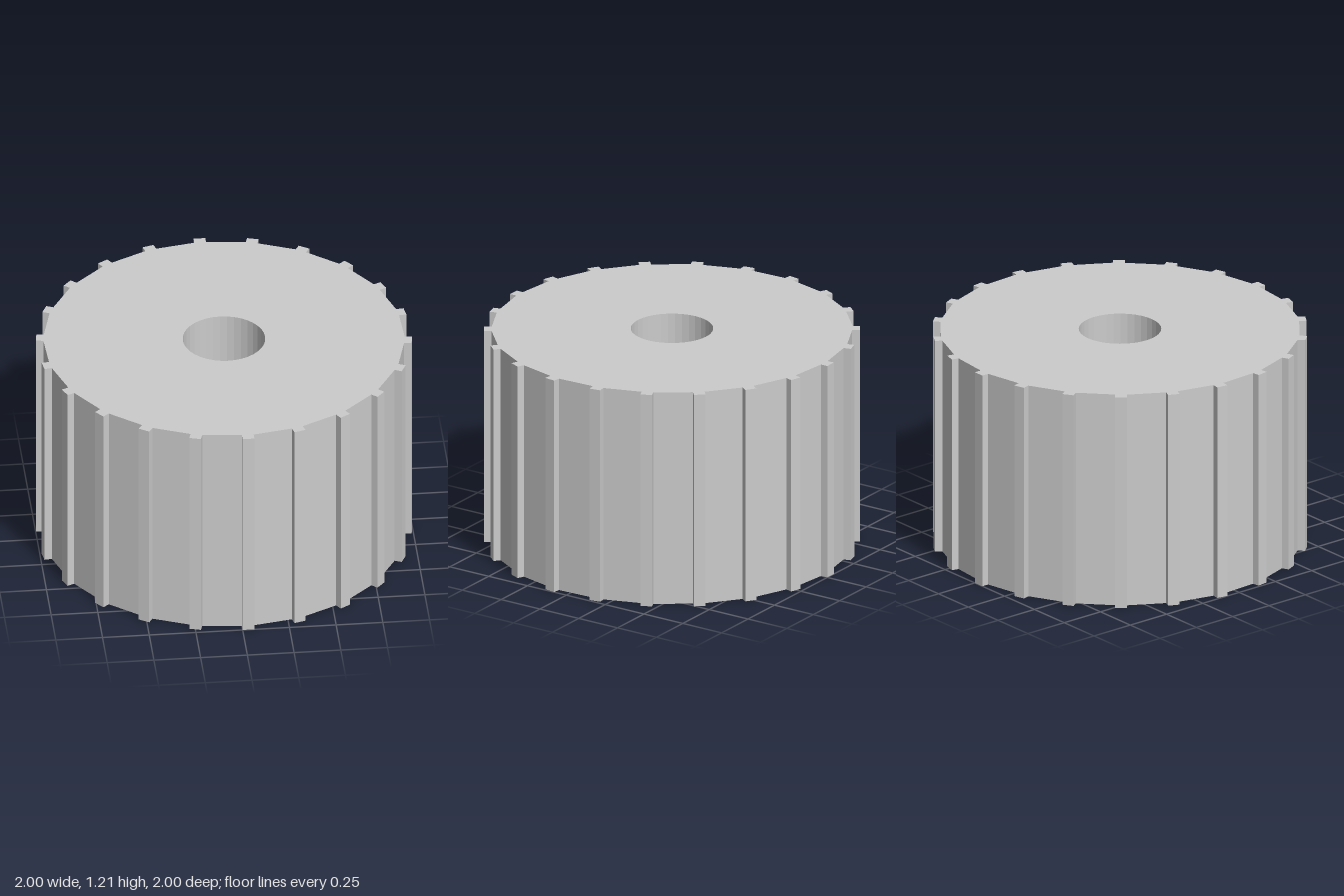
import * as THREE from 'three';

const TEETH = 22, HEIGHT = 1.205;
const ROOT = 0.96, TIP = 1, TOOTH_WIDTH = 0.063, BORE = 0.22;

// Outline: each tooth is a square rib whose one flank lies on the radial line
function gearOutline() {
  const points = [];
  for (let k = 0; k < TEETH; k++) {
    const a = (k / TEETH) * Math.PI * 2;
    const s = Math.sin(a), c = Math.cos(a);
    for (const [offset, r] of [[0, ROOT], [0, TIP], [TOOTH_WIDTH, TIP], [TOOTH_WIDTH, ROOT]]) {
      points.push(new THREE.Vector2(r * s + offset * c, -(r * c - offset * s)));
    }
  }
  return new THREE.Shape(points);
}

export function createModel() {
  const group = new THREE.Group();
  group.name = 'toothedPulley';

  // Straight-toothed wheel with a round bore through its axis
  const shape = gearOutline();
  shape.holes.push(new THREE.Path().absarc(0, 0, BORE, 0, Math.PI * 2, true));
  const geometry = new THREE.ExtrudeGeometry(shape, {
    depth: HEIGHT, bevelEnabled: false, curveSegments: 18,
  });
  geometry.rotateX(-Math.PI / 2);

  const wheel = new THREE.Mesh(
    geometry,
    new THREE.MeshStandardMaterial({ color: 0xcccccc, flatShading: true }),
  );
  wheel.name = 'toothedWheel';
  group.add(wheel);
  return group;
}
